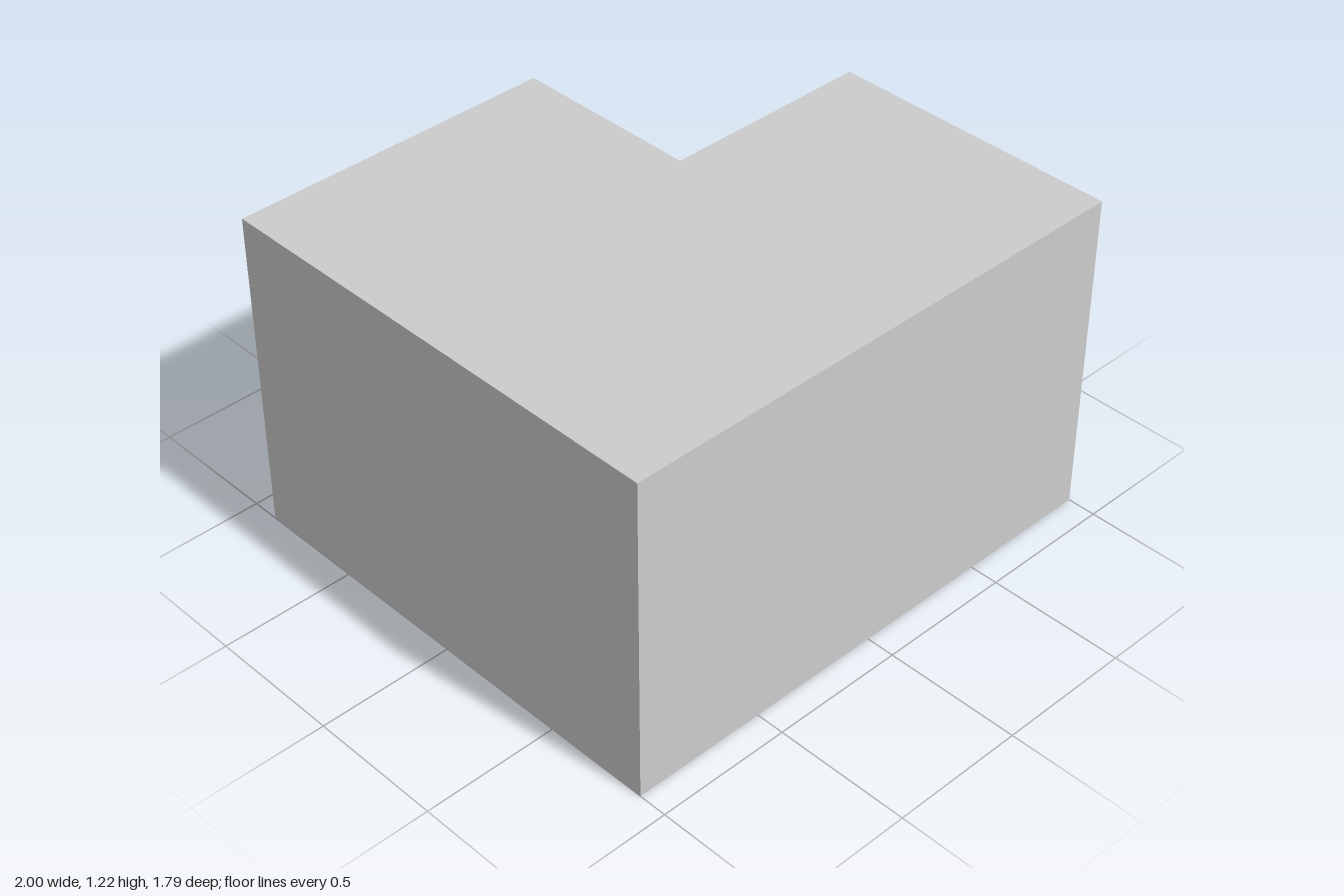
import * as THREE from 'three';

const grey = new THREE.MeshStandardMaterial({ color: 0xcccccc });
const thin = new THREE.MeshStandardMaterial({ color: 0xcccccc, side: THREE.DoubleSide });

export function createModel() {
  const root = new THREE.Group();

  const add = (name, geometry, parent = root, material = grey) => {
    const mesh = new THREE.Mesh(geometry, material);
    mesh.name = name;
    parent.add(mesh);
    return mesh;
  };
  // Box given by its limits on each axis
  const box = (name, [x0, x1], [y0, y1], [z0, z1], parent = root) => {
    const mesh = add(name, new THREE.BoxGeometry(x1 - x0, y1 - y0, z1 - z0), parent);
    mesh.position.set((x0 + x1) / 2, (y0 + y1) / 2, (z0 + z1) / 2);
    return mesh;
  };
  const group = (name) => {
    const g = new THREE.Group();
    g.name = name;
    root.add(g);
    return g;
  };

  // Cabinet fronts with narrow gaps, facing the back (-z) or the side (+x)
  const T = 0.012, GAP = 0.003;
  const frontZ = (name, x, y, z, parent) =>
    box(name, [x[0] + GAP, x[1] - GAP], [y[0] + GAP, y[1] - GAP], [z, z + T], parent);
  const frontX = (name, z, y, x, parent) =>
    box(name, [x - T, x], [y[0] + GAP, y[1] - GAP], [z[0] + GAP, z[1] - GAP], parent);

  // L-shaped plan shared by floor and ceiling (shape y becomes -z)
  const plan = new THREE.Shape(
    [[-1, -0.895], [1, -0.895], [1, 0.19], [0.21, 0.19], [0.21, 0.895], [-1, 0.895]]
      .map(([x, y]) => new THREE.Vector2(x, y)));
  add('floor', new THREE.ShapeGeometry(plan), root, thin).rotation.x = -Math.PI / 2;
  const ceiling = add('ceiling', new THREE.ExtrudeGeometry(plan, { depth: 0.092, bevelEnabled: false }));
  ceiling.rotation.x = -Math.PI / 2;
  ceiling.position.y = 1.123;

  // Walls
  const H = 1.123;
  box('frontWall', [-1, 1], [0, H], [0.845, 0.895]);
  box('sideWall', [-1, -0.945], [0, H], [-0.895, 0.845]);
  box('wallPier', [0.82, 1], [0, H], [0.505, 0.845]);

  // Tall cupboards with a recessed plinth
  const tall = group('tallCabinets');
  box('tallCarcass', [-0.13, 0.82], [0.045, H], [0.505 + T, 0.845], tall);
  box('tallPlinth', [-0.13, 0.82], [0, 0.045], [0.53, 0.845], tall);
  box('tallEndPanel', [-0.145, -0.13], [0, H], [0.505, 0.845], tall);
  const splits = [0.82, 0.615, 0.41, 0.13];
  for (let i = 0; i < 3; i++) {
    frontZ('tallDoor', [splits[i + 1], splits[i]], [0.045, H], 0.505, tall);
  }

  // Oven column
  const oven = group('ovenColumn');
  const ox = [-0.13, 0.13];
  frontZ('ovenDrawer', ox, [0.045, 0.11], 0.505, oven);
  frontZ('ovenDoor', ox, [0.11, 0.38], 0.505, oven);
  frontZ('ovenControlPanel', ox, [0.38, 0.44], 0.505, oven);
  frontZ('microwaveDoor', ox, [0.44, 0.6], 0.502, oven);
  frontZ('upperDoor', ox, [0.6, H], 0.505, oven);
  box('ovenHandle', [-0.1, 0.1], [0.345, 0.358], [0.478, 0.488], oven);
  for (const x of [-0.08, 0.08]) {
    box('handlePost', [x - 0.006, x + 0.006], [0.347, 0.356], [0.486, 0.506], oven);
  }

  // Wall cabinets along both walls
  const upper = group('wallCabinets');
  box('frontCarcass', [-0.72, -0.145], [0.65, H], [0.61 + T, 0.845], upper);
  box('sideCarcass', [-0.945, -0.72 - T], [0.65, H], [0.015, 0.845], upper);
  box('sideEndPanel', [-0.945, -0.72], [0.65, H], [0, 0.015], upper);
  frontZ('frontDoor', [-0.43, -0.145], [0.65, H], 0.61, upper);
  frontZ('frontDoor', [-0.72, -0.43], [0.65, H], 0.61, upper);
  frontX('sideDoor', [0.32, 0.61], [0.65, H], -0.72, upper);
  frontX('sideDoor', [0.015, 0.32], [0.65, H], -0.72, upper);

  // Base cabinets with drawers along both walls
  const base = group('baseCabinets');
  box('frontCarcass', [-0.61, -0.145], [0.05, 0.395], [0.505 + T, 0.845], base);
  box('sideCarcass', [-0.945, -0.61 - T], [0.05, 0.395], [0.015, 0.845], base);
  box('frontPlinth', [-0.64, -0.145], [0, 0.05], [0.535, 0.845], base);
  box('sidePlinth', [-0.945, -0.64], [0, 0.05], [0.015, 0.845], base);
  box('sideEndPanel', [-0.945, -0.61], [0, 0.395], [0, 0.015], base);
  for (const y of [[0.05, 0.222], [0.232, 0.39]]) {
    frontX('sideDrawer', [0.015, 0.505], y, -0.61, base);
    frontZ('frontDrawer', [-0.61, -0.145], y, 0.505, base);
  }

  // Worktop, breakfast bar and its end panel
  const top = group('worktop');
  const wy = [0.396, 0.42];
  box('frontWorktop', [-0.6, -0.145], wy, [0.5, 0.845], top);
  box('sideWorktop', [-0.945, -0.6], wy, [0.01, 0.845], top);
  box('barTop', [-0.945, -0.287], wy, [-0.262, 0.01], top);
  box('barEndPanel', [-0.313, -0.287], [0, 0.396], [-0.262, 0.01], top);
  box('hob', [-0.9, -0.65], [0.42, 0.426], [0.26, 0.51], top);

  // Bar stools: one bent shell for seat and back
  const outline = new THREE.Shape();
  outline.moveTo(-0.12, 0.358);
  outline.lineTo(0.085, 0.358);
  outline.quadraticCurveTo(0.107, 0.358, 0.112, 0.39);
  outline.lineTo(0.124, 0.448);
  outline.lineTo(0.114, 0.448);
  outline.lineTo(0.102, 0.39);
  outline.quadraticCurveTo(0.098, 0.366, 0.08, 0.366);
  outline.lineTo(-0.12, 0.366);
  const shell = new THREE.ExtrudeGeometry(outline, { depth: 0.2, steps: 12, bevelEnabled: false });
  shell.translate(0, 0, -0.1);
  shell.rotateY(Math.PI / 2);
  // Round the upper corners of the back
  const p = shell.attributes.position;
  for (let i = 0; i < p.count; i++) {
    if (p.getY(i) > 0.4) p.setY(i, p.getY(i) - 0.03 * Math.abs(p.getX(i) / 0.1) ** 4);
  }
  shell.computeVertexNormals();

  const foot = new THREE.LatheGeometry(
    [[0, 0], [0.11, 0], [0.11, 0.005], [0.03, 0.012], [0.009, 0.025], [0.009, 0.358]]
      .map(([x, y]) => new THREE.Vector2(x, y)), 32);
  for (const x of [-0.49, -0.76]) {
    const stool = group('barStool');
    stool.position.set(x, 0, -0.262);
    add('stoolSeat', shell, stool);
    add('stoolBase', foot, stool, thin);
    const rest = add('footRest', new THREE.TorusGeometry(0.042, 0.004, 8, 24), stool);
    rest.rotation.x = Math.PI / 2;
    rest.position.set(0, 0.103, 0.042);
  }

  // Long ceiling lamp with rounded ends
  const r = 0.0225;
  const lamp = new THREE.Shape();
  lamp.absarc(0.225, 0, r, -Math.PI / 2, Math.PI / 2);
  lamp.absarc(-0.225, 0, r, Math.PI / 2, Math.PI * 1.5);
  const light = add('ceilingLamp', new THREE.ExtrudeGeometry(lamp, { depth: 0.046, bevelEnabled: false }));
  light.rotation.x = -Math.PI / 2;
  light.position.set(-0.227, 1.077, 0.062);

  return root;
}
